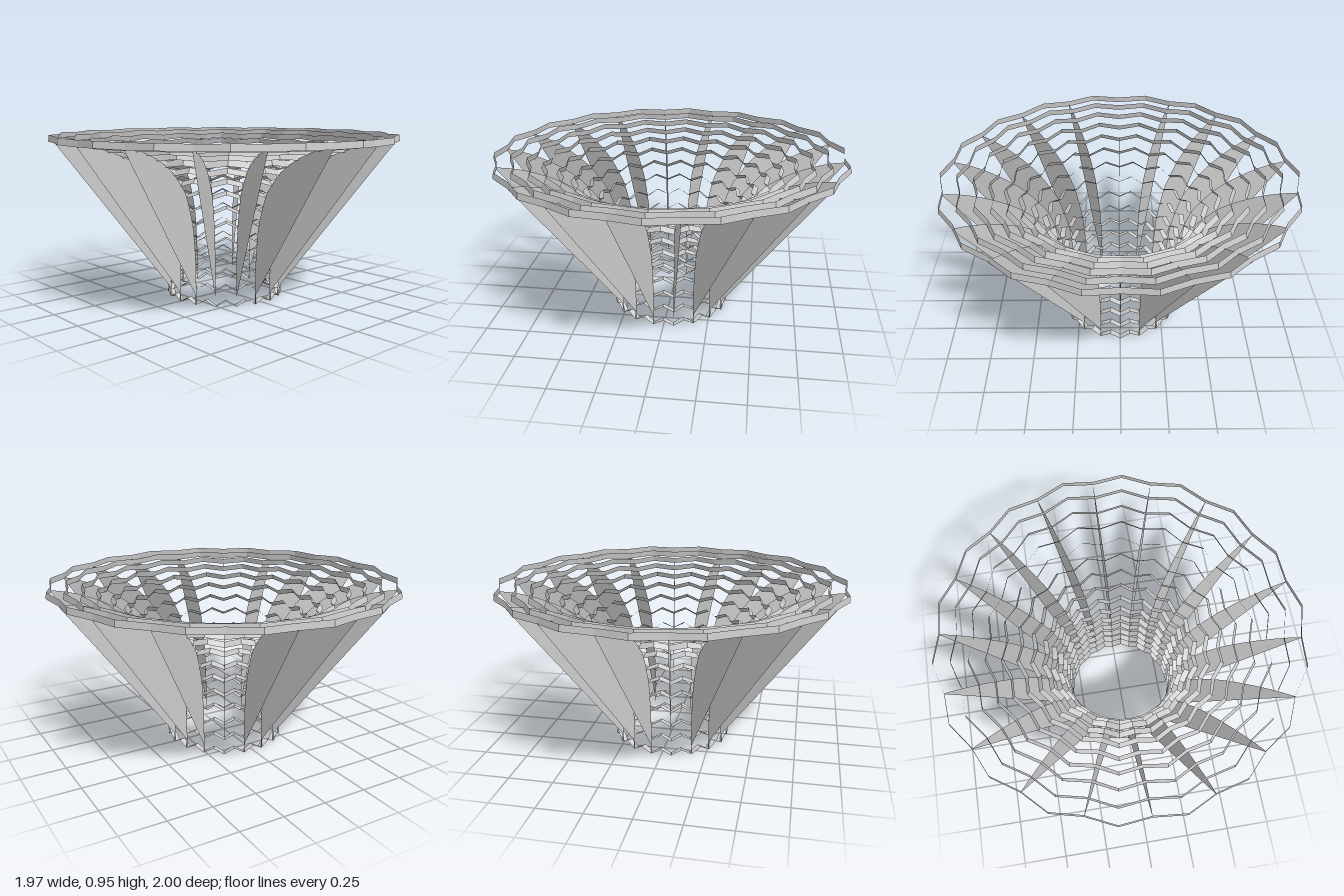
import * as THREE from 'three';

const FINS = 18, BANDS = 15;
const BAND_WIDTH = 0.036; // depth of each slat, measured inward from the profile
const ZIGZAG = 0.033;     // how far every second corner slides down the profile

// Bowl profile as (radius, height): vertical at the foot, nearly level at the rim
const profile = new THREE.SplineCurve([
  [0.34, 0.033], [0.341, 0.2], [0.352, 0.34], [0.375, 0.47], [0.435, 0.62], [0.5, 0.7],
  [0.575, 0.767], [0.655, 0.815], [0.74, 0.853], [0.825, 0.882], [0.91, 0.901], [1.0, 0.912],
].map(([r, y]) => new THREE.Vector2(r, y)));
profile.arcLengthDivisions = 400;

// Point near the profile: slid back along the tangent, then moved inward along the normal
function profilePoint(u, back, inward) {
  const p = profile.getPointAt(u), t = profile.getTangentAt(u);
  return new THREE.Vector2(p.x - t.x * back - t.y * inward, p.y - t.y * back + t.x * inward);
}

// Zigzag ring slat standing square to the profile
function bandGeometry(u) {
  const n = FINS * 2, pos = [], index = [];
  for (let i = 0; i < n; i++) {
    const a = (i / n) * Math.PI * 2;
    for (const inward of [0, BAND_WIDTH]) {
      const p = profilePoint(u, i % 2 ? ZIGZAG : 0, inward);
      pos.push(p.x * Math.sin(a), p.y, p.x * Math.cos(a));
    }
    const b = i * 2, c = ((i + 1) % n) * 2;
    index.push(b, c, c + 1, b, c + 1, b + 1);
  }
  const g = new THREE.BufferGeometry();
  g.setAttribute('position', new THREE.Float32BufferAttribute(pos, 3));
  g.setIndex(index);
  const flat = g.toNonIndexed();
  flat.computeVertexNormals();
  return flat;
}

// Radial fin: curved inner edge, straight outer edge, narrow foot
function finGeometry() {
  const pts = [];
  for (let i = 0; i <= 42; i++) pts.push(profilePoint(i / 42, ZIGZAG, 0.008));
  pts.push(new THREE.Vector2(0.968, 0.905), new THREE.Vector2(0.342, 0.06), new THREE.Vector2(0.34, 0));
  return new THREE.ShapeGeometry(new THREE.Shape(pts));
}

export function createModel() {
  const model = new THREE.Group();
  model.name = 'slattedBowl';
  const material = new THREE.MeshStandardMaterial({
    color: 0xcccccc, flatShading: true, side: THREE.DoubleSide,
  });

  // Ring slats, evenly spaced along the profile
  const bands = new THREE.Group();
  bands.name = 'ringSlats';
  for (let k = 0; k < BANDS; k++) {
    const band = new THREE.Mesh(bandGeometry(k / (BANDS - 1)), material);
    band.name = k === BANDS - 1 ? 'rimSlat' : `ringSlat${k + 1}`;
    bands.add(band);
  }

  // Fins at the lowered corners of the slats
  const fins = new THREE.Group();
  fins.name = 'fins';
  const finShape = finGeometry();
  for (let k = 0; k < FINS; k++) {
    const fin = new THREE.Mesh(finShape, material);
    fin.name = `fin${k + 1}`;
    fin.rotation.y = ((k + 0.5) / FINS) * Math.PI * 2 - Math.PI / 2;
    fins.add(fin);
  }

  model.add(bands, fins);
  return model;
}
